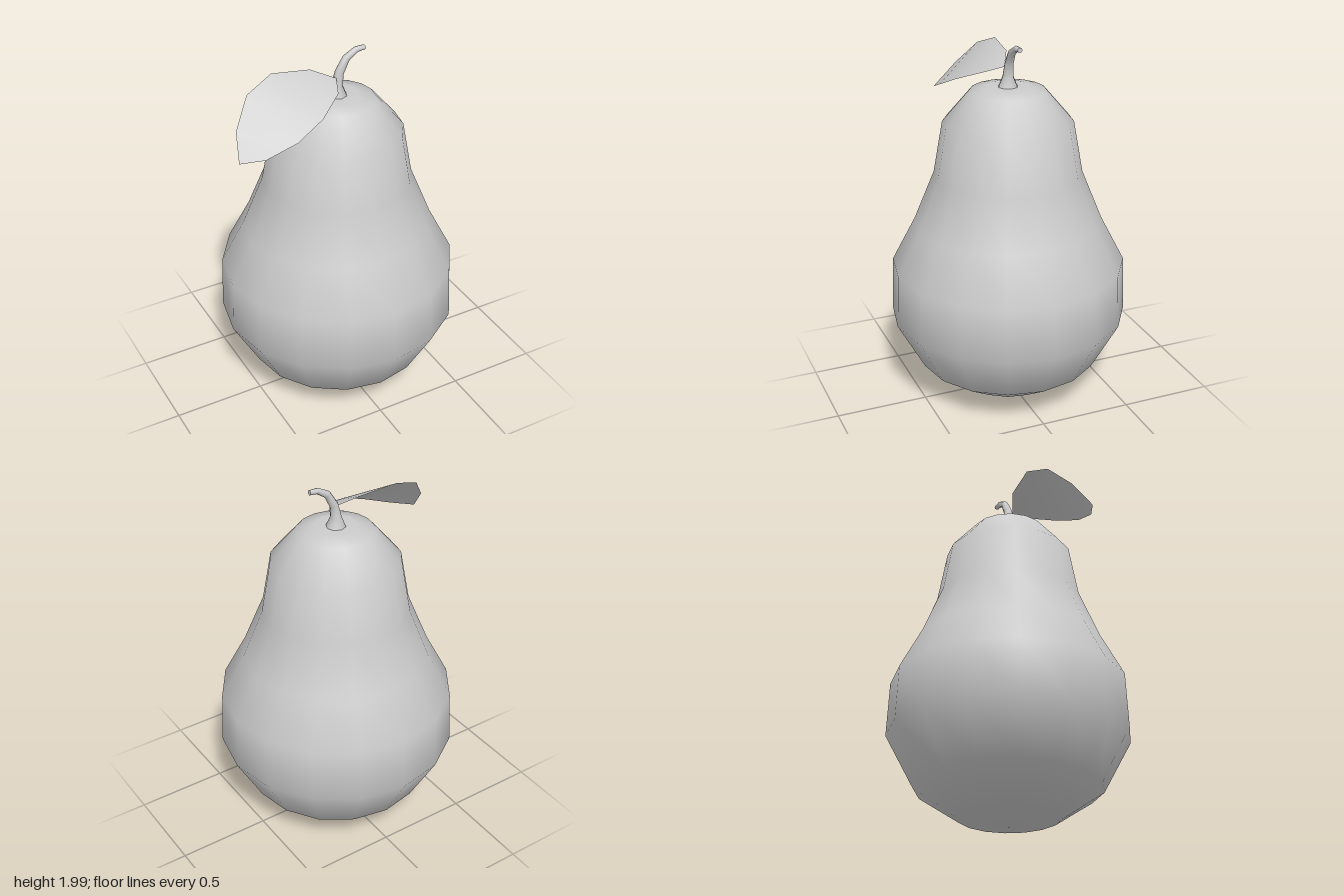
import * as THREE from 'three';
import { toCreasedNormals } from 'three/addons/utils/BufferGeometryUtils.js';

const grey = new THREE.MeshStandardMaterial({ color: 0xcccccc });
const greyThin = new THREE.MeshStandardMaterial({ color: 0xcccccc, side: THREE.DoubleSide });

function addMesh(group, name, geometry, material) {
  const mesh = new THREE.Mesh(geometry, material);
  mesh.name = name;
  group.add(mesh);
}

// Pear body: a 16-sided smooth lathe, profile as [radius, height]
function bodyGeometry() {
  const profile = [
    [0, 0.01], [0.27, 0.06], [0.495, 0.21], [0.643, 0.485], [0.63, 0.78], [0.505, 1.02],
    [0.395, 1.29], [0.345, 1.57], [0.2, 1.74], [0.11, 1.76], [0, 1.755],
  ].map(([r, y]) => new THREE.Vector2(r, y));
  return new THREE.LatheGeometry(profile, 16);
}

// Stem: a cylinder bent along a path of [x, y, radius], flared at its base
function stemGeometry() {
  const path = [
    [0, 1.75, 0.055], [0, 1.81, 0.03], [0.013, 1.88, 0.024],
    [0.053, 1.95, 0.02], [0.11, 1.984, 0.016], [0.157, 1.987, 0.013],
  ];
  const last = path.length - 1;
  const geometry = new THREE.CylinderGeometry(1, 1, 1, 8, last);
  const pos = geometry.attributes.position;
  for (let i = 0; i < pos.count; i++) {
    const row = Math.round((pos.getY(i) + 0.5) * last);
    const [x, y, r] = path[row];
    const before = path[Math.max(row - 1, 0)];
    const after = path[Math.min(row + 1, last)];
    const tangent = new THREE.Vector2(after[0] - before[0], after[1] - before[1]).normalize();
    const side = pos.getX(i) * r;
    pos.setXYZ(i, x + side * tangent.y, y - side * tangent.x, pos.getZ(i) * r);
  }
  geometry.deleteAttribute('uv');
  geometry.deleteAttribute('normal');
  return toCreasedNormals(geometry, 1);
}

// Leaf: a thin drooping strip, each station gives its back and front edge
function leafGeometry() {
  const stations = [
    [[-0.012, 1.86, 0.015], [-0.012, 1.86, 0.015]],
    [[-0.13, 1.91, -0.045], [-0.055, 1.83, 0.115]],
    [[-0.335, 1.93, -0.063], [-0.19, 1.77, 0.21]],
    [[-0.49, 1.87, -0.02], [-0.35, 1.70, 0.25]],
    [[-0.595, 1.74, 0.07], [-0.515, 1.64, 0.23]],
    [[-0.63, 1.62, 0.17], [-0.63, 1.62, 0.17]],
  ];
  const index = [];
  for (let i = 0; i < stations.length - 1; i++) {
    const a = i * 2;
    if (i > 0) index.push(a, a + 2, a + 1);
    if (i < stations.length - 2) index.push(a + 1, a + 2, a + 3);
  }
  const geometry = new THREE.BufferGeometry();
  geometry.setAttribute('position', new THREE.Float32BufferAttribute(stations.flat(2), 3));
  geometry.setIndex(index);
  geometry.computeVertexNormals();
  return geometry;
}

export function createModel() {
  const pear = new THREE.Group();
  pear.name = 'pear';
  addMesh(pear, 'body', bodyGeometry(), grey);
  addMesh(pear, 'stem', stemGeometry(), grey);
  addMesh(pear, 'leaf', leafGeometry(), greyThin);
  return pear;
}
